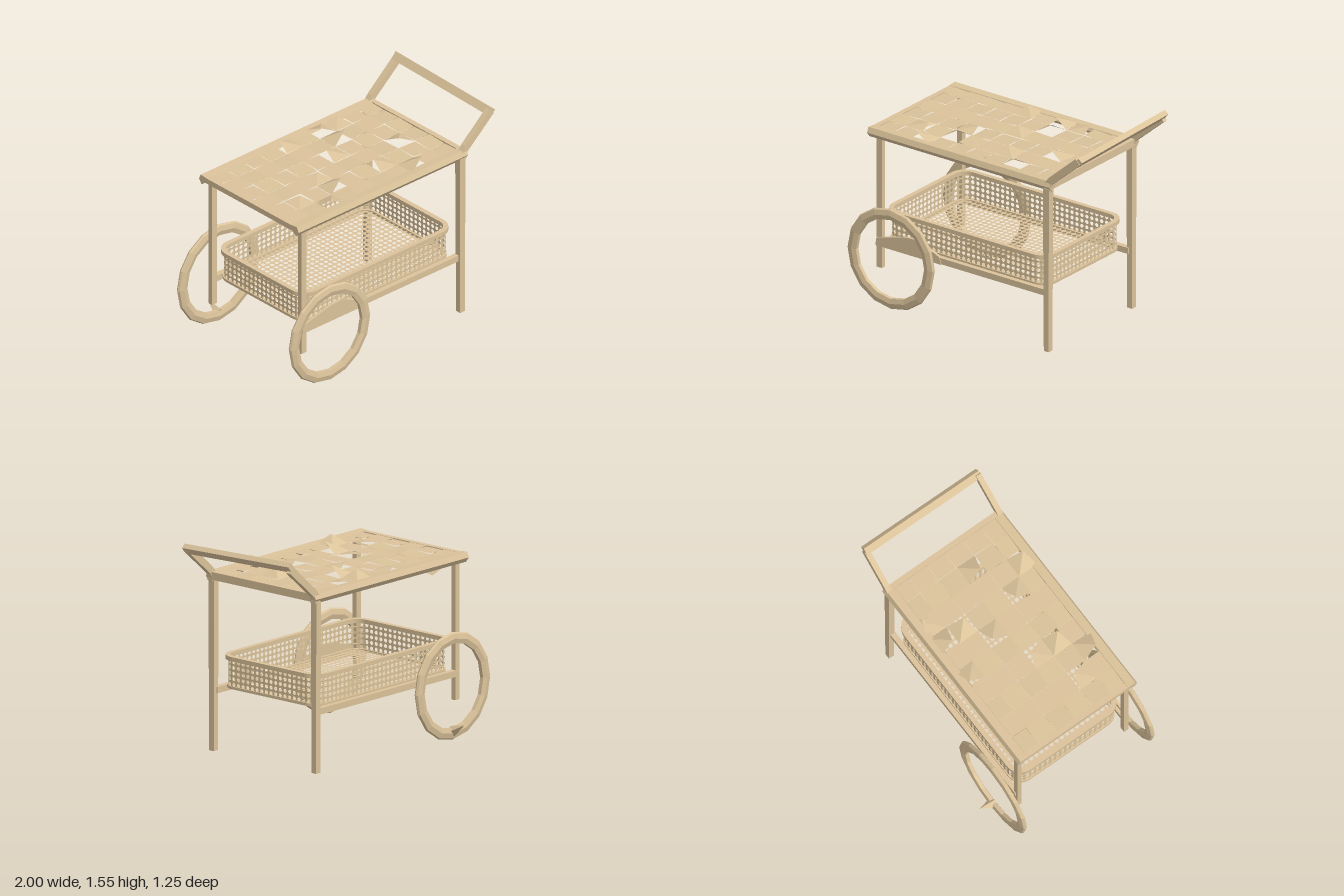
import * as THREE from 'three';
import { mergeGeometries } from 'three/addons/utils/BufferGeometryUtils.js';

const ZC = 0.04; // the body's centre line
const material = new THREE.MeshStandardMaterial({ color: 0xdac29a, flatShading: true, side: THREE.DoubleSide });

function add(parent, name, geometry, x = 0, y = 0, z = 0) {
  const mesh = new THREE.Mesh(geometry, material);
  mesh.name = name;
  mesh.position.set(x, y, z);
  parent.add(mesh);
  return mesh;
}
const box = (parent, name, w, h, d, x, y, z) => add(parent, name, new THREE.BoxGeometry(w, h, d), x, y, z);
const polygon = points => new THREE.Shape(points.map(p => new THREE.Vector2(...p)));
const prism = (points, depth) => new THREE.ExtrudeGeometry(polygon(points), { depth, bevelEnabled: false });

function roundedRect(hx, hy, r, Type = THREE.Shape) {
  const s = new Type();
  s.absarc(hx - r, hy - r, r, 0, Math.PI / 2);
  s.absarc(-hx + r, hy - r, r, Math.PI / 2, Math.PI);
  s.absarc(-hx + r, -hy + r, r, Math.PI, Math.PI * 1.5);
  s.absarc(hx - r, -hy + r, r, Math.PI * 1.5, Math.PI * 2);
  s.closePath();
  return s;
}

// Flat mesh of square cells, each with one round hole
function caneSheet(columns, rows, width, height) {
  const w = width / columns, h = height / rows;
  const cell = polygon([[0, 0], [w, 0], [w, h], [0, h]]);
  const hole = new THREE.Path();
  hole.absarc(w / 2, h / 2, Math.min(w, h) * 0.37, 0, Math.PI * 2, true);
  cell.holes.push(hole);
  const base = new THREE.ShapeGeometry(cell, 4);
  const cells = [];
  for (let i = 0; i < columns; i++)
    for (let j = 0; j < rows; j++) cells.push(base.clone().translate(i * w, j * h, 0));
  return mergeGeometries(cells);
}

function createBasket() {
  const basket = new THREE.Group();
  basket.name = 'basket';
  basket.position.set(-0.045, 0, ZC);
  const hx = 0.69, hz = 0.435, r = 0.1;

  // Wall: a perforated strip wrapped around the rounded outline
  const outline = roundedRect(hx, hz, r), length = outline.getLength();
  const wall = caneSheet(Math.round(length / 0.043), 5, length, 0.2);
  let p = wall.attributes.position;
  for (let i = 0; i < p.count; i++) {
    const q = outline.getPointAt(Math.min(1, Math.max(0, p.getX(i) / length)));
    p.setXYZ(i, q.x, 0.467 + p.getY(i), -q.y);
  }
  wall.computeVertexNormals();
  add(basket, 'basketWall', wall);

  // Floor: a perforated sheet with its corners pulled in to the outline
  const floor = caneSheet(32, 20, hx * 2, hz * 2).translate(-hx, -hz, 0).rotateX(-Math.PI / 2);
  p = floor.attributes.position;
  for (let i = 0; i < p.count; i++) {
    const x = p.getX(i), z = p.getZ(i);
    const dx = Math.abs(x) - hx + r, dz = Math.abs(z) - hz + r;
    const k = r / Math.hypot(dx, dz);
    if (dx > 0 && dz > 0 && k < 1) {
      p.setX(i, Math.sign(x) * (hx - r + dx * k));
      p.setZ(i, Math.sign(z) * (hz - r + dz * k));
    }
  }
  add(basket, 'basketFloor', floor, 0, 0.47, 0);

  // Rolled edges at top and bottom
  for (const [name, y, h, out] of [['basketRim', 0.658, 0.03, 0.02], ['basketBase', 0.456, 0.02, 0.008]]) {
    const ring = roundedRect(hx + out, hz + out, r + out);
    ring.holes.push(roundedRect(hx - 0.016, hz - 0.016, r - 0.016, THREE.Path));
    const g = new THREE.ExtrudeGeometry(ring, { depth: h, bevelEnabled: false, curveSegments: 5 });
    add(basket, name, g.rotateX(-Math.PI / 2), 0, y, 0);
  }
  return basket;
}

function createTop() {
  const top = new THREE.Group();
  top.name = 'tableTop';
  // Frame: long rails with a slanted underside, plain end rails
  const section = [[0.43, 1.284], [0.49, 1.288], [0.507, 1.25], [0.48, 1.215], [0.42, 1.262]];
  for (const s of [-1, 1]) {
    const rail = prism(section.map(([z, y]) => [-s * z, y]), 1.58).rotateY(Math.PI / 2);
    add(top, 'topSideRail', rail, -0.845, 0, ZC);
  }
  box(top, 'topEndRail', 0.04, 0.04, 0.95, -0.825, 1.262, ZC);
  box(top, 'topEndRail', 0.04, 0.055, 0.95, 0.715, 1.258, ZC);

  // Woven panel: slightly tilted squares, the worn ones with one corner curled up
  const cols = 10, rows = 6, w = 0.153, d = 0.155, gap = 0.0015;
  const worn = { '4,0': 1, '6,0': 2, '7,0': 0, '6,1': 3, '5,2': 1, '3,3': 0, '8,3': 2, '3,4': 3, '6,4': 1, '1,4': 0, '2,5': 2, '7,5': 3 };
  const pieces = [];
  for (let i = 0; i < cols; i++)
    for (let j = 0; j < rows; j++) {
      const g = new THREE.PlaneGeometry(w - gap, d - gap).rotateX(-Math.PI / 2);
      const turn = worn[`${i},${j}`];
      if (turn === undefined) {
        const tilt = (i + j) % 2 ? 0.04 : -0.04;
        if (i % 2) g.rotateX(tilt); else g.rotateZ(tilt);
      } else {
        g.attributes.position.setXYZ(1, 0.04, 0.02 + 0.016 * turn, -0.04);
        g.rotateY(turn * Math.PI / 2);
      }
      pieces.push(g.translate((i + 0.5) * w - 0.815, 1.278, (j + 0.5) * d + ZC - 0.465));
    }
  add(top, 'wovenPanel', mergeGeometries(pieces));

  // Loose strip hanging under the wheel end
  const strip = new THREE.BufferGeometry().setFromPoints([
    new THREE.Vector3(-0.72, 1.225, 0.49), new THREE.Vector3(-0.61, 1.145, -0.34), new THREE.Vector3(-0.71, 1.225, -0.4)]);
  strip.computeVertexNormals();
  add(top, 'looseStrip', strip);
  return top;
}

function createHandle() {
  const handle = new THREE.Group();
  handle.name = 'handle';
  const arm = prism([[0.68, 1.22], [0.73, 1.22], [0.74, 1.27], [0.985, 1.48], [0.95, 1.52], [0.72, 1.32], [0.68, 1.27]], 0.04);
  for (const s of [-1, 1]) add(handle, 'handleArm', arm, 0, 0, ZC + s * 0.475 - 0.02);
  // Grip, slightly higher at the back
  box(handle, 'handleGrip', 0.04, 0.06, 0.98, 0.967, 1.505, ZC).rotation.set(0.03, 0, -0.7);
  return handle;
}

function createWheel(name, radius, x, z) {
  // Faceted hoop with a flattened hexagonal section
  const rim = [[-0.08, -0.014], [-0.045, -0.023], [-0.008, -0.014], [0, 0], [-0.008, 0.014], [-0.045, 0.023], [-0.08, 0.014], [-0.08, -0.014]];
  const hoop = new THREE.LatheGeometry(rim.map(([r, t]) => new THREE.Vector2(radius + r, t)), 16);
  return add(new THREE.Group(), name, hoop.rotateX(Math.PI / 2), x, radius + 0.01, z);
}

export function createModel() {
  const cart = new THREE.Group();
  cart.name = 'servingCart';

  for (const s of [-1, 1]) {
    // Long legs under the handle, short legs beside the wheels
    const leg = new THREE.CylinderGeometry(0.036, 0.03, 1.22, 4).rotateY(Math.PI / 4);
    add(cart, 'longLeg', leg, 0.695, 0.62, ZC + s * 0.472);
    box(cart, 'shortLeg', 0.045, 1.0, 0.035, -0.765, 0.75, ZC + s * 0.455);
    // Rails carrying the basket
    box(cart, 'lowerRail', 1.46, 0.045, 0.04, -0.04, 0.44, ZC + s * 0.46);
  }
  cart.add(createBasket(), createTop(), createHandle());
  cart.add(createWheel('frontWheel', 0.375, -0.6, 0.593), createWheel('backWheel', 0.382, -0.618, -0.517));

  // Peaked plate on the front rail, beside the wheel
  add(cart, 'railPlate', prism([[-0.79, 0.415], [-0.22, 0.415], [-0.24, 0.47], [-0.42, 0.545], [-0.52, 0.54], [-0.78, 0.475]], 0.02), 0, 0, 0.505);

  // Small peg on the back wheel
  const peg = add(cart, 'wheelPeg', new THREE.ConeGeometry(0.04, 0.13, 4), -0.615, 0.1, -0.575);
  peg.rotation.x = -Math.PI / 2 + 0.5;
  return cart;
}
